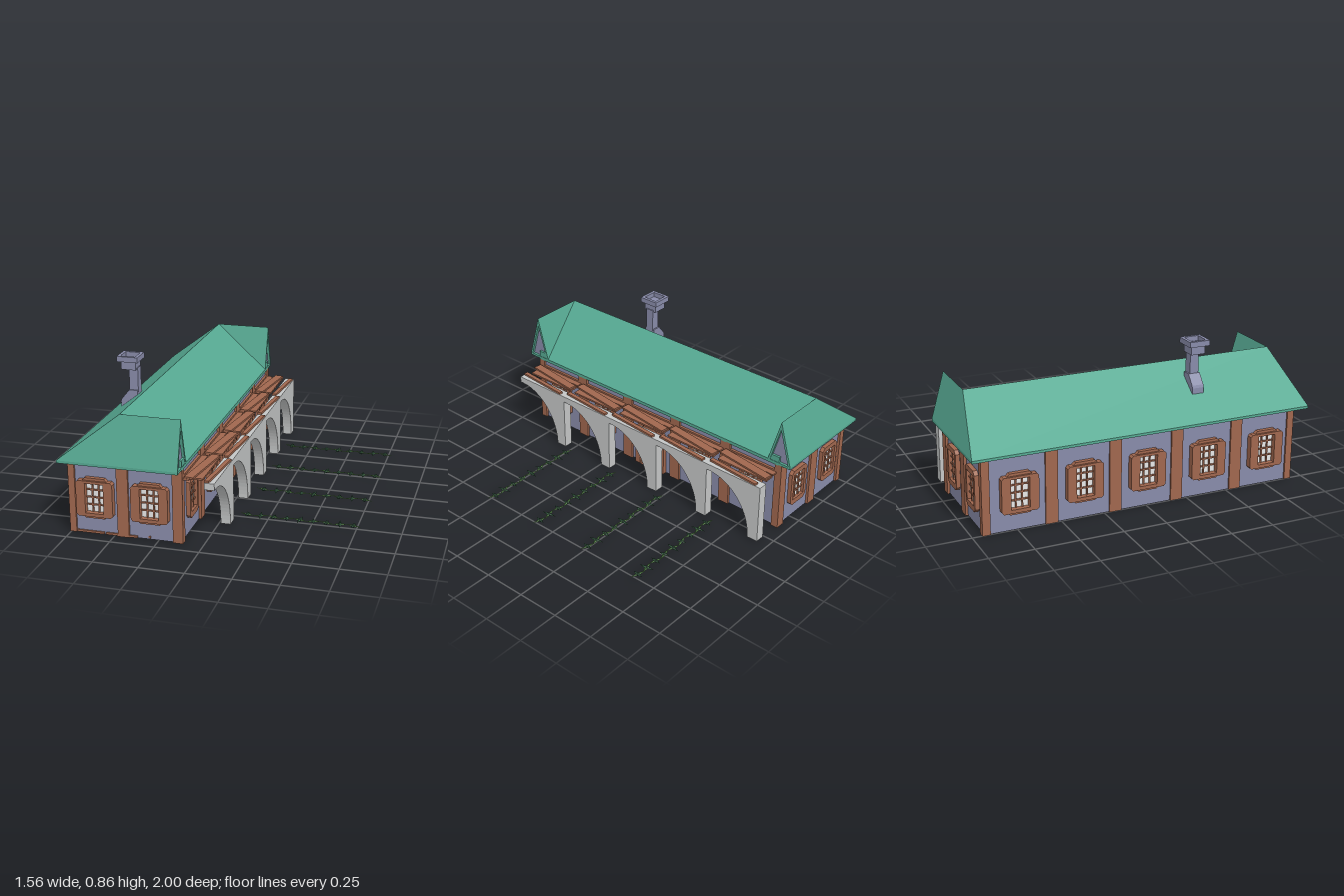
import * as THREE from 'three';

const mat = (name, color, side = THREE.FrontSide) => {
  const m = new THREE.MeshStandardMaterial({ color, side });
  m.name = name;
  return m;
};

export function createModel() {
  const root = new THREE.Group();
  const roofGreen = mat('roofGreen', 0x56a992, THREE.DoubleSide);
  const plaster = mat('plaster', 0x888ba9, THREE.DoubleSide);
  const wood = mat('wood', 0xa0674e);
  const stone = mat('stone', 0xc4c6c6);
  const glass = mat('glass', 0xffffff, THREE.DoubleSide);
  const leaf = mat('leaf', 0x5a8a4c);
  const darkLeaf = mat('darkLeaf', 0x33573f);

  const add = (parent, name, geo, m) => {
    const mesh = new THREE.Mesh(geo, m);
    mesh.name = name;
    parent.add(mesh);
    return mesh;
  };
  // Box given by its limits on each axis
  const box = (parent, name, m, x0, x1, y0, y1, z0, z1) => {
    const b = add(parent, name, new THREE.BoxGeometry(x1 - x0, y1 - y0, z1 - z0), m);
    b.position.set((x0 + x1) / 2, (y0 + y1) / 2, (z0 + z1) / 2);
    return b;
  };
  const poly = (pts) => new THREE.Shape(pts.map(([x, y]) => new THREE.Vector2(x, y)));
  const extrude = (shape, depth) =>
    new THREE.ExtrudeGeometry(shape, { depth, bevelEnabled: false, curveSegments: 10 });
  // Surface from flat polygons, each a fan of corner points
  const facets = (polys) => {
    const p = [];
    for (const f of polys)
      for (let i = 1; i < f.length - 1; i++) p.push(...f[0], ...f[i], ...f[i + 1]);
    const g = new THREE.BufferGeometry();
    g.setAttribute('position', new THREE.Float32BufferAttribute(p, 3));
    g.computeVertexNormals();
    return g;
  };

  // Walls
  const walls = new THREE.Group();
  walls.name = 'walls';
  root.add(walls);
  const T = 0.425;
  box(walls, 'arcadeWall', plaster, -0.145, -0.125, 0, T, -0.925, 0.91);
  box(walls, 'rearWall', plaster, -0.745, -0.725, 0, T, -0.925, 0.91);
  box(walls, 'frontWall', plaster, -0.745, -0.125, 0, T, 0.89, 0.912);
  box(walls, 'backWall', plaster, -0.745, -0.125, 0, T, -0.93, -0.908);

  // Timber posts on all four walls
  for (const [z0, z1] of [[0.885, 0.925], [-0.945, -0.9]]) {
    box(root, 'cornerPost', wood, -0.755, -0.718, 0, T, z0, z1);
    box(root, 'middlePost', wood, -0.48, -0.415, 0, T, z0, z1);
    box(root, 'cornerPost', wood, -0.167, -0.11, 0, T, z0, z1);
  }
  for (const z of [-0.555, -0.185, 0.185, 0.555])
    for (const [x0, x1] of [[-0.755, -0.72], [-0.15, -0.11]])
      box(root, 'sidePost', wood, x0, x1, 0, T, z - 0.035, z + 0.035);

  // Windows: chamfered frame, optional wide surround, pane and glazing bars
  const octagon = (w, y0, y1, c) => poly([[-w + c, y0], [w - c, y0], [w, y0 + c], [w, y1 - c],
    [w - c, y1], [-w + c, y1], [-w, y1 - c], [-w, y0 + c]]);
  const ring = (w, y0, y1, c, d) => {
    const s = octagon(w, y0, y1, c);
    s.holes.push(poly([[-0.052, 0.13], [-0.052, 0.3], [0.052, 0.3], [0.052, 0.13]]));
    return extrude(s, d);
  };
  const frameGeo = ring(0.075, 0.097, 0.33, 0.02, 0.024);
  const surroundGeo = ring(0.104, 0.11, 0.315, 0.012, 0.036);
  const windowAt = (x, z, turn, wide) => {
    const g = new THREE.Group();
    g.name = 'window';
    g.position.set(x, 0, z);
    g.rotation.y = turn;
    add(g, 'windowFrame', frameGeo, wood);
    if (wide) add(g, 'windowSurround', surroundGeo, wood);
    box(g, 'pane', glass, -0.052, 0.052, 0.13, 0.3, 0.001, 0.004);
    for (const u of [-0.018, 0.018]) box(g, 'glazingBar', wood, u - 0.004, u + 0.004, 0.13, 0.3, 0.002, 0.012);
    for (const v of [0.172, 0.215, 0.258]) box(g, 'glazingBar', wood, -0.052, 0.052, v - 0.004, v + 0.004, 0.002, 0.012);
    root.add(g);
  };
  for (const x of [-0.6, -0.29]) {
    windowAt(x, 0.912, 0, true);
    windowAt(x, -0.93, Math.PI, false);
  }
  for (const z of [-0.74, -0.37, 0, 0.37, 0.74]) {
    windowAt(-0.745, z, -Math.PI / 2, true);
    if (z) windowAt(-0.125, z, Math.PI / 2, false);
  }

  // Arched door with hourglass inlay
  const archShape = (w, spring, h) => {
    const s = new THREE.Shape();
    s.moveTo(-w, 0);
    s.lineTo(w, 0);
    s.lineTo(w, spring);
    s.absellipse(0, spring, w, h - spring, 0, Math.PI, false);
    s.lineTo(-w, 0);
    return s;
  };
  const door = new THREE.Group();
  door.name = 'door';
  door.position.x = -0.125;
  door.rotation.y = Math.PI / 2;
  root.add(door);
  const doorFrame = archShape(0.11, 0.22, 0.33);
  doorFrame.holes.push(archShape(0.076, 0.22, 0.3));
  add(door, 'doorFrame', extrude(doorFrame, 0.026), wood);
  add(door, 'doorLeaf', extrude(archShape(0.08, 0.22, 0.3), 0.014), wood);
  for (const [a, b] of [[0.195, 0.13], [0.04, 0.1]])
    add(door, 'doorInlay', extrude(poly([[-0.036, a], [0.036, a], [0, b]]), 0.003), plaster).position.z = 0.014;

  // Roof: long ridge, hipped outer edge, a small cross gable at each end
  const y0 = 0.44, top = 0.705;
  const E = (s) => [-0.785, y0, s], O = (s) => [-0.11, y0, s], V = (s) => [-0.11, y0, 0.85 * s];
  const R = (s) => [-0.445, top, 0.925 * s], G = (s) => [-0.11, top, 0.925 * s];
  add(root, 'roof', facets([
    [E(-1), E(1), R(1), R(-1)], [V(1), V(-1), R(-1), R(1)],
    [E(1), O(1), G(1), R(1)], [O(-1), E(-1), R(-1), G(-1)],
    [R(1), G(1), V(1)], [R(-1), V(-1), G(-1)],
  ]), roofGreen);
  box(root, 'rearEave', roofGreen, -0.785, -0.735, 0.425, y0, -1, 1);
  box(root, 'arcadeEave', roofGreen, -0.15, -0.11, 0.42, y0, -0.92, 0.92);
  for (const s of [-1, 1]) {
    const zs = [0.91 * s, s].sort((a, b) => a - b);
    box(root, 'endEave', roofGreen, -0.785, -0.11, 0.425, y0, ...zs);
    const bz = [0.86 * s, 0.925 * s].sort((a, b) => a - b);
    box(root, 'eaveBlock', roofGreen, -0.15, -0.112, y0, 0.475, ...bz);
    add(root, 'gableWall', facets([[[-0.125, y0, 0.925 * s + 0.07], [-0.125, y0, 0.925 * s - 0.07],
      [-0.125, 0.69, 0.925 * s]]]), plaster);
    // Sloping trim along the gable edges
    for (const e of [-1, 1]) {
      const c = 0.925 * s;
      const trim = poly([[-c - 0.075 * e, y0], [-c, top], [-c, top - 0.05], [-c - 0.061 * e, y0]]);
      const t = add(root, 'gableTrim', extrude(trim, 0.015), roofGreen);
      t.rotation.y = Math.PI / 2;
      t.position.x = -0.125;
    }
  }

  // Chimney: offset foot, shaft and hollow stepped cap
  const chimney = new THREE.Group();
  chimney.name = 'chimney';
  chimney.position.z = 0.37;
  root.add(chimney);
  const foot = add(chimney, 'chimneyFoot', extrude(poly([[-0.635, 0.55], [-0.535, 0.55], [-0.535, 0.66],
    [-0.585, 0.66], [-0.63, 0.605], [-0.635, 0.59]]), 0.07), plaster);
  foot.position.z = -0.035;
  box(chimney, 'chimneyShaft', plaster, -0.585, -0.533, 0.65, 0.79, -0.026, 0.026);
  box(chimney, 'lowerCap', plaster, -0.625, -0.54, 0.78, 0.832, -0.042, 0.042);
  const square = (h) => [[-h, -h], [h, -h], [h, h], [-h, h]];
  const capShape = poly(square(0.061));
  capShape.holes.push(poly(square(0.043).reverse()));
  const cap = add(chimney, 'upperCap', extrude(capShape, 0.031), plaster);
  cap.rotation.x = -Math.PI / 2;
  cap.position.set(-0.583, 0.829, 0);

  // Arcade: five half arches on pillars, with loose roof planks and floor planks
  const arch = new THREE.Shape();
  arch.moveTo(0, 0.365);
  arch.lineTo(0, 0.327);
  arch.absellipse(0.02, 0, 0.288, 0.327, Math.PI / 2, 0, true);
  arch.lineTo(0.375, 0);
  arch.lineTo(0.375, 0.365);
  const archGeo = extrude(arch, 0.056);
  const plank = (name, x0, z0, x1, z1, w, y, h) => {
    const b = add(root, name, new THREE.BoxGeometry(w, h, Math.hypot(x1 - x0, z1 - z0)), wood);
    b.position.set((x0 + x1) / 2, y, (z0 + z1) / 2);
    b.rotation.y = Math.atan2(x1 - x0, z1 - z0);
  };
  for (let i = 0; i < 5; i++) {
    const z = 0.925 - i * 0.37;
    const a = add(root, 'archPillar', archGeo, stone);
    a.rotation.y = Math.PI / 2;
    a.position.set(0.01, 0, z);
    plank('arcadePlank', -0.035, z - 0.03, -0.035, z - 0.365, 0.06, 0.37, 0.01);
    plank('arcadePlank', -0.092, z - 0.01, -0.092, z - 0.36, 0.035, 0.37, 0.01);
    plank('slantedPlank', -0.078, z - 0.01, -0.03, z - 0.36, 0.05, 0.38, 0.01);
    plank('slantedPlank', 0.022, z - 0.005, 0.052, z - 0.34, 0.025, 0.371, 0.012);
    box(root, 'arcadeBeam', wood, -0.125, -0.11, 0.362, 0.385, z - 0.37, z);
    for (const [x0, x1] of [[-0.74, -0.56], [-0.55, -0.37]])
      box(root, 'floorBoard', wood, x0, x1, 0.001, 0.013, z - 0.365, z - 0.005);
    plank('floorPlank', -0.33, z - 0.02, -0.22, z - 0.35, 0.07, 0.012, 0.012);
  }

  // Garden rows: a low vine with pointed leaves
  const leafGeo = new THREE.OctahedronGeometry(1, 0);
  const spike = (parent, m, x, y, sx, sy, sz, turn) => {
    const l = add(parent, 'leaf', leafGeo, m);
    l.position.set(x, y, 0);
    l.scale.set(sx, sy, sz);
    l.rotation.y = turn;
  };
  for (const z of [0.49, 0.12, -0.25, -0.62]) {
    const row = new THREE.Group();
    row.name = 'plantRow';
    row.position.z = z;
    root.add(row);
    for (let i = 0; i < 9; i++) {
      const x = 0.13 + i * 0.075;
      const long = i % 3 === 1 ? 0.048 : 0.034;
      spike(row, leaf, x, 0.014, 0.05, 0.006, 0.011, i % 2 ? 0.25 : -0.25);
      spike(row, darkLeaf, x, 0.015, 0.012, 0.009, long, i % 2 ? 0.15 : -0.15);
      spike(row, darkLeaf, x, 0.015, 0.016, 0.014, 0.014, 0.5);
    }
  }
  return root;
}
